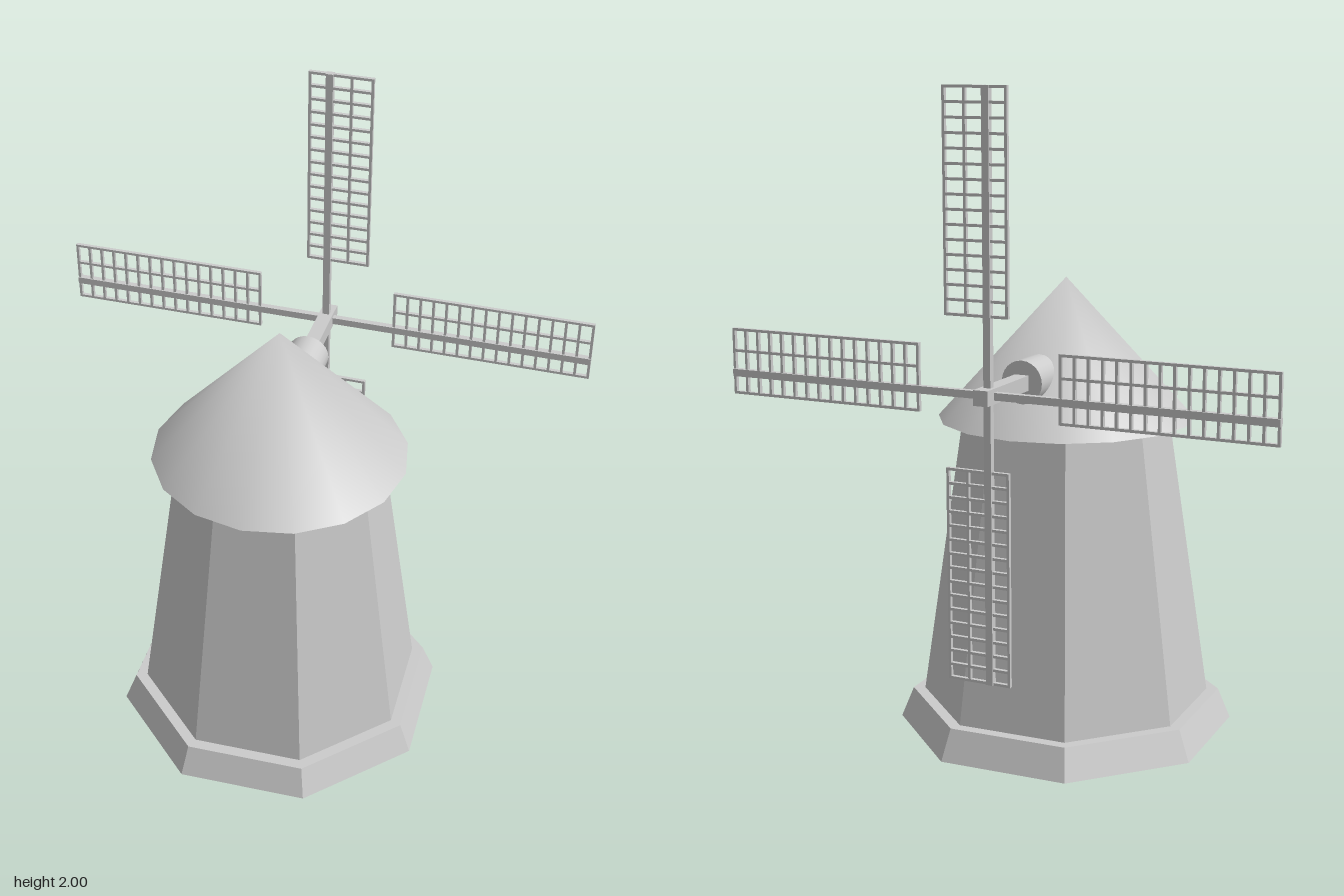
import * as THREE from 'three';
import { mergeGeometries, mergeVertices } from 'three/addons/utils/BufferGeometryUtils.js';

const flat = new THREE.MeshStandardMaterial({ color: 0xcccccc, flatShading: true });
const smooth = new THREE.MeshStandardMaterial({ color: 0xcccccc });

function add(parent, name, geometry, material = flat) {
  const mesh = new THREE.Mesh(geometry, material);
  mesh.name = name;
  parent.add(mesh);
  return mesh;
}

// Eight-sided tapered block, sized by the distance from centre to flat side
function octagon(bottom, top, y0, y1) {
  const k = 1 / Math.cos(Math.PI / 8);
  return new THREE.CylinderGeometry(top * k, bottom * k, y1 - y0, 8)
    .rotateY(Math.PI / 8)
    .translate(0, (y0 + y1) / 2, 0);
}

const INNER = 0.22, OUTER = 0.857;      // sail reach from the hub
const EDGE_A = -0.065, EDGE_B = 0.135;  // sail edges either side of the stock
const ROWS = 15, COLUMNS = 3, BAR = 0.008, DEPTH = 0.012;

// Lattice of one sail; sign chooses the end of the stock
function lattice(vertical, sign) {
  const bars = [];
  const bar = (along, across, length, width) => {
    const g = vertical
      ? new THREE.BoxGeometry(width, length, DEPTH).translate(across, sign * along, 0)
      : new THREE.BoxGeometry(length, width, DEPTH).translate(sign * along, across, 0);
    bars.push(g);
  };
  const reach = OUTER - INNER, span = EDGE_B - EDGE_A;
  for (let i = 0; i <= COLUMNS; i++) {
    const t = i / COLUMNS;
    bar((INNER + OUTER) / 2, EDGE_A + BAR / 2 + t * (span - BAR), reach, BAR);
  }
  for (let i = 0; i <= ROWS; i++) {
    const t = i / ROWS;
    bar(INNER + BAR / 2 + t * (reach - BAR), (EDGE_A + EDGE_B) / 2, BAR, span);
  }
  return mergeGeometries(bars);
}

export function createModel() {
  const model = new THREE.Group();
  model.name = 'windmill';

  // Body
  const body = new THREE.Group();
  body.name = 'body';
  body.position.set(-0.016, 0, 0.041);
  model.add(body);
  add(body, 'plinth', octagon(0.485, 0.449, 0, 0.095));
  add(body, 'tower', octagon(0.415, 0.294, 0.095, 0.988));

  // Cap, turned slightly on the tower
  const cap = new THREE.Group();
  cap.name = 'cap';
  cap.position.copy(body.position);
  cap.rotation.y = -0.031;
  model.add(cap);

  // Roof cone with one shared apex, so its shading is smooth all over
  let cone = new THREE.ConeGeometry(0.395, 0.432, 16, 1, true);
  cone.deleteAttribute('normal');
  cone.deleteAttribute('uv');
  cone = mergeVertices(cone);
  cone.computeVertexNormals();
  add(cap, 'roof', cone, smooth).position.y = 0.985 + 0.216;
  const under = add(cap, 'roofUnderside', new THREE.CircleGeometry(0.395, 16));
  under.rotation.x = Math.PI / 2;
  under.position.y = 0.985;

  // Shaft and its housing
  const hubY = 1.143;
  const housing = new THREE.CylinderGeometry(0.065, 0.065, 0.21, 24).rotateX(Math.PI / 2);
  add(cap, 'shaftHousing', housing, smooth).position.set(0, hubY, -0.205);
  add(cap, 'shaft', new THREE.BoxGeometry(0.045, 0.045, 0.37)).position.set(0, hubY, -0.387);

  // Sails on two crossed stocks
  const sails = new THREE.Group();
  sails.name = 'sails';
  sails.position.set(0, hubY, -0.522);
  cap.add(sails);
  for (const vertical of [true, false]) {
    const stock = new THREE.BoxGeometry(0.022, 2 * OUTER, 0.02);
    if (!vertical) stock.rotateZ(Math.PI / 2);
    add(sails, vertical ? 'uprightStock' : 'crossStock', stock);
    for (const sign of [1, -1]) {
      const name = vertical ? (sign > 0 ? 'topSail' : 'bottomSail') : (sign > 0 ? 'leftSail' : 'rightSail');
      add(sails, name, lattice(vertical, sign));
    }
  }

  return model;
}
